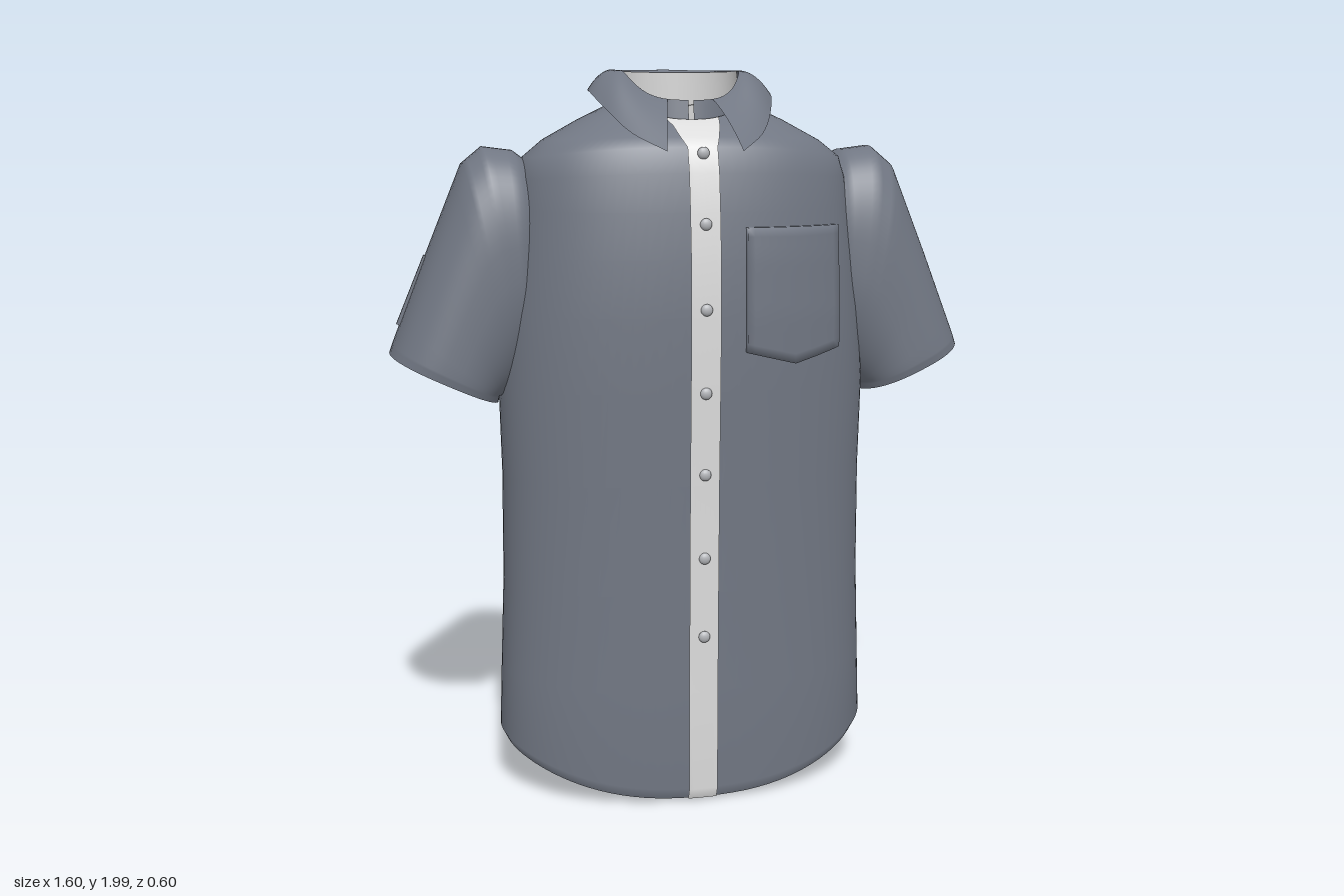
import * as THREE from 'three';
import { mergeVertices } from 'three/addons/utils/BufferGeometryUtils.js';

const fabric = new THREE.MeshStandardMaterial({ color: 0x717783 });
fabric.name = 'slate fabric';
const fabricTwoSided = fabric.clone();
fabricTwoSided.side = THREE.DoubleSide;
const light = new THREE.MeshStandardMaterial({ color: 0xdcdcdc });
light.name = 'light lining';
const buttonGrey = new THREE.MeshStandardMaterial({ color: 0xb4b6ba });
buttonGrey.name = 'button grey';

const lerp = THREE.MathUtils.lerp;
const power = (t, p) => Math.sign(t) * Math.abs(t) ** p;

// Smooth surface from fn(u, v), both 0..1
function grid(fn, nu, nv, flip = false) {
  const pos = [], idx = [];
  for (let i = 0; i <= nu; i++)
    for (let j = 0; j <= nv; j++) pos.push(...fn(i / nu, j / nv));
  for (let i = 0; i < nu; i++)
    for (let j = 0; j < nv; j++) {
      const a = i * (nv + 1) + j, b = a + nv + 1;
      if (flip) idx.push(a, a + 1, b, b, a + 1, b + 1);
      else idx.push(a, b, a + 1, b, b + 1, a + 1);
    }
  const g = new THREE.BufferGeometry();
  g.setAttribute('position', new THREE.Float32BufferAttribute(pos, 3));
  g.setIndex(idx);
  const merged = mergeVertices(g, 1e-5);
  merged.computeVertexNormals();
  return merged;
}

// Torso rings: half width, front z, back z, y at side, y at front, y at back
const RINGS = [
  [0.51, 0.248, -0.268, 0.135, 0.008, 0],
  [0.525, 0.262, -0.28, 0.165, 0.04, 0.035],
  [0.518, 0.262, -0.28, 0.35, 0.32, 0.32],
  [0.508, 0.265, -0.278, 0.6, 0.6, 0.6],
  [0.505, 0.27, -0.28, 0.9, 0.9, 0.9],
  [0.51, 0.278, -0.288, 1.15, 1.15, 1.15],
  [0.495, 0.283, -0.29, 1.35, 1.35, 1.35],
  [0.475, 0.279, -0.285, 1.5, 1.5, 1.5],
  [0.46, 0.268, -0.28, 1.62, 1.62, 1.62],
  [0.45, 0.255, -0.268, 1.7, 1.72, 1.74],
  [0.435, 0.235, -0.255, 1.755, 1.785, 1.8],
  [0.38, 0.205, -0.235, 1.8, 1.81, 1.85],
  [0.28, 0.165, -0.215, 1.855, 1.84, 1.88],
  [0.175, 0.11, -0.2, 1.905, 1.855, 1.895],
];
const LAST = RINGS.length - 1;

function ringAt(v) {
  const i = Math.min(LAST - 1, Math.floor(v));
  return RINGS[i].map((a, k) => lerp(a, RINGS[i + 1][k], v - i));
}

function bodyPoint(v, theta, inset = 0) {
  const [hw, zf, zb, ys, yf, yb] = ringAt(v);
  const c = Math.cos(theta), s = Math.sin(theta), mid = (zf + zb) / 2;
  const k = 1 - inset * Math.min(1, v);
  return [
    hw * k * power(c, 0.85),
    ys * c * c + (s > 0 ? yf : yb) * s * s,
    mid + ((zf - zb) / 2) * k * power(s, 0.85),
  ];
}

// Point lying on the torso at a given x, lifted off the front or back
function onBody(x, v, lift, back = false) {
  const t = Math.acos(power(x / ringAt(v)[0], 1 / 0.85));
  const p = bodyPoint(v, back ? -t : t);
  p[2] += back ? -lift : lift;
  return p;
}

// Ring coordinate of a height on the front
function vAt(y) {
  let i = 0;
  while (i < LAST - 1 && RINGS[i + 1][4] < y) i++;
  return i + (y - RINGS[i][4]) / (RINGS[i + 1][4] - RINGS[i][4]);
}

// Sleeve rings: top x, top y, bottom x, bottom y, half depth
const SLEEVE = [
  [0.4, 1.73, 0.4, 1.25, 0.15],
  [0.46, 1.775, 0.44, 1.2, 0.178],
  [0.54, 1.785, 0.46, 1.16, 0.185],
  [0.595, 1.74, 0.48, 1.13, 0.187],
  [0.695, 1.5, 0.5, 1.115, 0.186],
  [0.79, 1.262, 0.507, 1.118, 0.187],
  [0.8, 1.235, 0.512, 1.1, 0.182],
];

function sleevePoint(side, inset) {
  const n = SLEEVE.length - 1;
  return (u, v) => {
    const f = v * n, i = Math.min(n - 1, Math.floor(f));
    const [tx, ty, bx, by, hz] = SLEEVE[i].map((a, k) => lerp(a, SLEEVE[i + 1][k], f - i));
    const k = 1 - inset * Math.min(1, n - f);
    const c = k * power(Math.cos(u * 2 * Math.PI), 0.8) / 2;
    const s = k * power(Math.sin(u * 2 * Math.PI), 0.8);
    return [
      side * ((tx + bx) / 2 + (tx - bx) * c),
      (ty + by) / 2 + (ty - by) * c,
      -0.045 + hz * s,
    ];
  };
}

// Collar fold height drops towards the throat
const foldY = (z) => 1.985 - 0.08 * THREE.MathUtils.smoothstep(z, -0.03, 0.11);

const collarEdge = new THREE.CatmullRomCurve3([
  [0, 1.93, -0.28], [0.13, 1.93, -0.252], [0.22, 1.93, -0.165], [0.25, 1.93, -0.03],
  [0.227, 1.885, 0.08], [0.175, 1.82, 0.19], [0.1, 1.775, 0.275],
].map((p) => new THREE.Vector3(...p)));

function collarPoint(u, v) {
  const s = Math.abs(u * 2 - 1), side = Math.sign(u * 2 - 1);
  const a = -Math.PI / 2 + s * (Math.PI - 0.38);
  const z = -0.05 + 0.155 * Math.sin(a);
  const fold = new THREE.Vector3(0.165 * Math.cos(a), foldY(z), z);
  const edge = collarEdge.getPoint(s);
  const roll = fold.clone().lerp(edge, 0.5);
  roll.y += 0.06 * (1 - 0.6 * s);
  const p = new THREE.QuadraticBezierCurve3(fold, roll, edge).getPoint(v);
  return [side * p.x, p.y, p.z];
}

function standPoint(inset) {
  return (u, v) => {
    const a = Math.PI / 2 + 0.04 + u * (2 * Math.PI - 0.08);
    const r = lerp(1.05, 1, v) - inset;
    const z = -0.05 + 0.155 * Math.sin(a);
    return [0.165 * r * Math.cos(a), lerp(1.845, foldY(z), v), -0.05 + 0.155 * r * Math.sin(a)];
  };
}

export function createModel() {
  const shirt = new THREE.Group();
  shirt.name = 'shirt';
  const add = (name, geometry, material, parent = shirt) => {
    const mesh = new THREE.Mesh(geometry, material);
    mesh.name = name;
    parent.add(mesh);
    return mesh;
  };

  // Torso and its lining
  const torso = (inset) => (u, v) => bodyPoint(v * LAST, u * 2 * Math.PI, inset);
  add('torso', grid(torso(0), 96, LAST, true), fabric);
  add('torsoLining', grid(torso(0.018), 96, LAST), light);

  // Button placket, widening at the throat
  add('placket', grid((u, v) => {
    const half = lerp(0.04, 0.075, THREE.MathUtils.clamp((v * LAST - 10) / 3, 0, 1));
    return onBody((u * 2 - 1) * half, v * LAST, 0.007);
  }, 6, LAST), light);
  for (const y of [1.77, 1.59, 1.37, 1.15, 0.93, 0.7, 0.48]) {
    const b = add('button', new THREE.SphereGeometry(0.016, 16, 10), buttonGrey);
    b.scale.z = 0.6;
    b.position.set(...onBody(0, vAt(y), 0.01));
  }

  // Chest pocket with a pointed base and closed rim
  const N = 16;
  add('pocket', grid((u, v) => {
    const rim = u === 0 || u === 1 || v === 0 || v === 1;
    const cu = THREE.MathUtils.clamp((u * N - 1) / (N - 2), 0, 1);
    const cv = THREE.MathUtils.clamp((v * N - 1) / (N - 2), 0, 1);
    const low = 1.255 - 0.035 * (1 - Math.abs(2 * cu - 1));
    return onBody(lerp(0.11, 0.385, cu), vAt(lerp(low, 1.58, cv)), rim ? -0.004 : 0.018);
  }, N, N), fabric);

  // Light panel on the back
  add('backPanel', grid((u, v) =>
    onBody(lerp(-0.3, 0.3, u), vAt(lerp(0.8, 1.35, v)), 0.004, true), 24, 12, true), light);

  // Sleeves with lining and a pressed crease
  for (const side of [1, -1]) {
    const sleeve = new THREE.Group();
    sleeve.name = side > 0 ? 'leftSleeve' : 'rightSleeve';
    shirt.add(sleeve);
    add('sleeveShell', grid(sleevePoint(side, 0), 64, 24, side < 0), fabric, sleeve);
    add('sleeveLining', grid(sleevePoint(side, 0.03), 64, 24, side > 0), light, sleeve);
    const crease = add('crease', new THREE.BoxGeometry(0.012, 0.2, 0.01), fabric, sleeve);
    crease.position.set(side * 0.735, 1.405, -0.04);
    crease.rotation.z = side * 0.4;
  }

  // Collar stand and folded leaf
  add('collarStand', grid(standPoint(0), 64, 4, true), fabric);
  add('collarStandLining', grid(standPoint(0.03), 64, 4), light);
  add('collarLeaf', grid(collarPoint, 64, 10), fabricTwoSided);

  return shirt;
}
